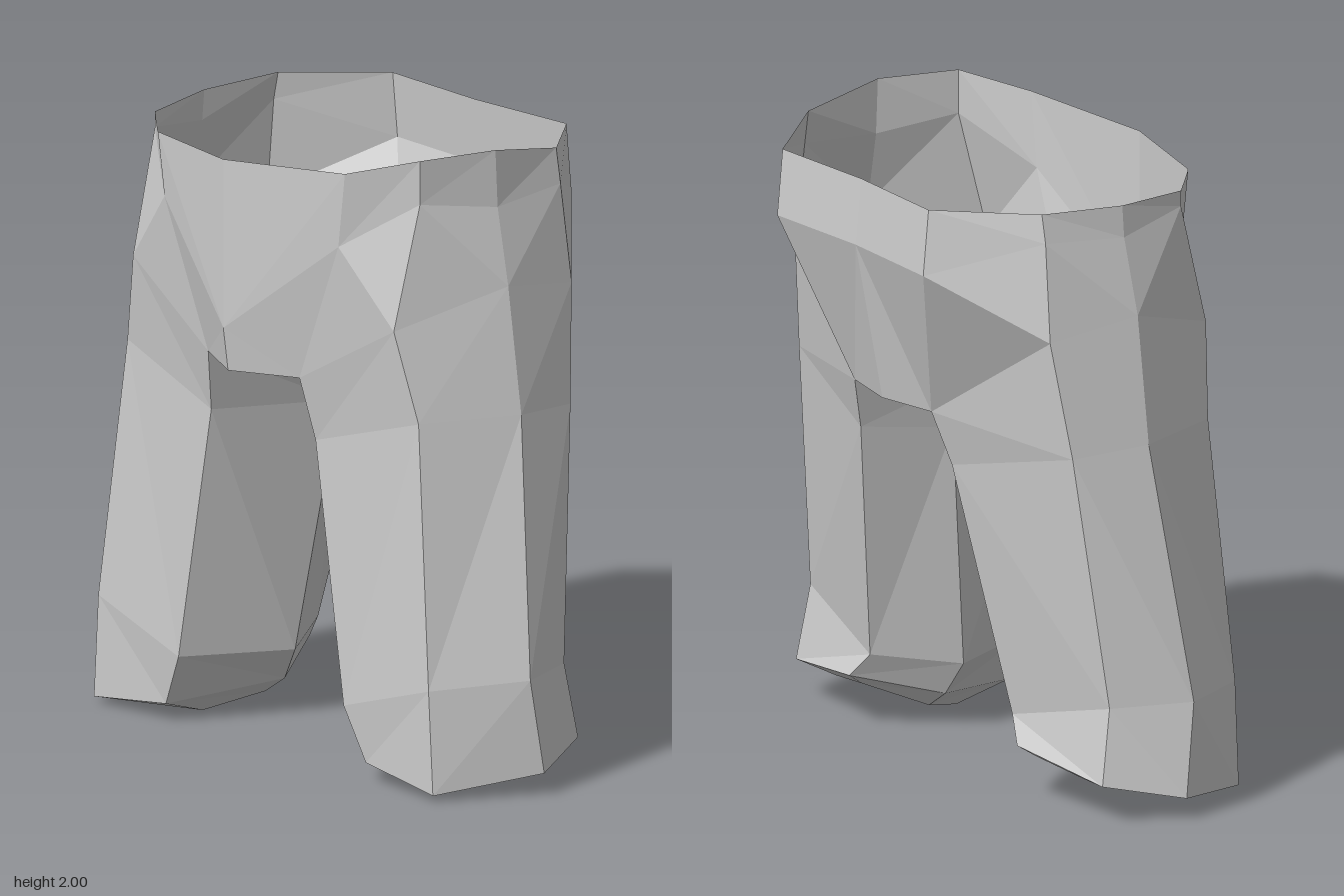
import * as THREE from 'three';

const material = new THREE.MeshStandardMaterial({
  color: 0xcccccc, flatShading: true, side: THREE.DoubleSide,
});

// Skins a stack of cross-sections; splitAC picks each quad's diagonal.
function loft(name, rows, { closed = false, flip = false, splitAC = () => true } = {}) {
  const out = [];
  const tri = (p, q, r) => (flip ? out.push(...p, ...r, ...q) : out.push(...p, ...q, ...r));
  for (let r = 0; r + 1 < rows.length; r++) {
    const n = rows[r].length;
    for (let i = 0; i < (closed ? n : n - 1); i++) {
      const j = (i + 1) % n;
      const a = rows[r][i], b = rows[r][j], c = rows[r + 1][j], d = rows[r + 1][i];
      if (splitAC(i)) { tri(a, b, c); tri(a, c, d); }
      else { tri(a, b, d); tri(b, c, d); }
    }
  }
  const geometry = new THREE.BufferGeometry();
  geometry.setAttribute('position', new THREE.Float32BufferAttribute(out, 3));
  geometry.computeVertexNormals();
  const mesh = new THREE.Mesh(geometry, material);
  mesh.name = name;
  return mesh;
}

// Mirrors a row; the shared centre-front points stay at their own x.
const mirror = (row, side) => row.map(([x, y, z]) => [x < 0 ? x : x * side, y, z]);

// Leg sections from hip to hem: back-outer, outer, front-outer, front-inner, inner, back-inner
const legRows = [
  [[.70, 1.53, -.26], [.74, 1.58, .04], [.60, 1.47, .39], [.21, 1.25, .43], [.09, 1.19, -.05], [.21, 1.21, -.37]],
  [[.75, 1.16, -.21], [.80, 1.18, .04], [.67, 1.18, .35], [.24, 1.05, .39], [.14, 1.02, -.05], [.25, 1.04, -.32]],
  [[.82, .36, -.12], [.93, .37, .12], [.76, .35, .39], [.38, .23, .40], [.23, .22, .05], [.39, .25, -.19]],
  [[.84, .12, -.16], [.95, .07, .08], [.78, .02, .39], [.46, .06, .38], [.30, .11, .03], [.46, .17, -.22]],
];
// Inner edge of the turned-in hem
const hemEdge = [[.68, .10, -.12], [.80, .05, .08], [.66, 0, .25], [.49, 0, .20], [.39, .05, .03], [.48, .13, -.16]];

// Hip sections from centre back round to centre front
const [backOuter, outer, frontOuter, frontInner, inner, backInner] = legRows[0];
const centreBack = [0, 1.21, -.41];
const centreFront = [-.03, 1.24, .51];
const hipRows = [
  [[0, 1.72, -.51], [.40, 1.72, -.53], [.66, 1.84, -.25], [.68, 1.82, .03], [.61, 1.86, .29], [.40, 1.71, .44], [-.03, 1.38, .53]],
  [centreBack, backInner, backOuter, outer, frontOuter, frontInner, centreFront],
];

// The waistband rises higher on the left side
const waistRow = (side) => {
  const y = side > 0 ? [1.93, 1.93, 1.95, 2, 2, 1.95, 1.92] : [1.93, 1.93, 1.93, 1.92, 1.91, 1.91, 1.92];
  const xz = [[0, -.49], [.40, -.51], [.64, -.25], [.67, .03], [.61, .29], [.43, .44], [-.03, .53]];
  return xz.map(([x, z], i) => [x, y[i], z]);
};

export function createModel() {
  const group = new THREE.Group();
  group.name = 'trousers';

  for (const side of [1, -1]) {
    const label = side > 0 ? 'left' : 'right';
    const flip = side < 0;
    const at = (rows) => rows.map((row) => mirror(row, side));
    group.add(
      loft(`${label}Waistband`, at([waistRow(side), hipRows[0]]), { flip }),
      loft(`${label}Hip`, at(hipRows), { flip, splitAC: (i) => i < 3 }),
      loft(`${label}Leg`, at(legRows), { flip, closed: true }),
      loft(`${label}Hem`, at([legRows[3], hemEdge]), { flip, closed: true }),
    );
  }

  // Crotch gusset bridging the two legs
  const across = (p, centre) => [p, centre, [-p[0], p[1], p[2]]];
  group.add(loft('crotchGusset', [
    across(frontInner, centreFront),
    across(inner, [0, 1.18, -.05]),
    across(backInner, centreBack),
  ], { splitAC: (i) => i === 0 }));

  return group;
}
